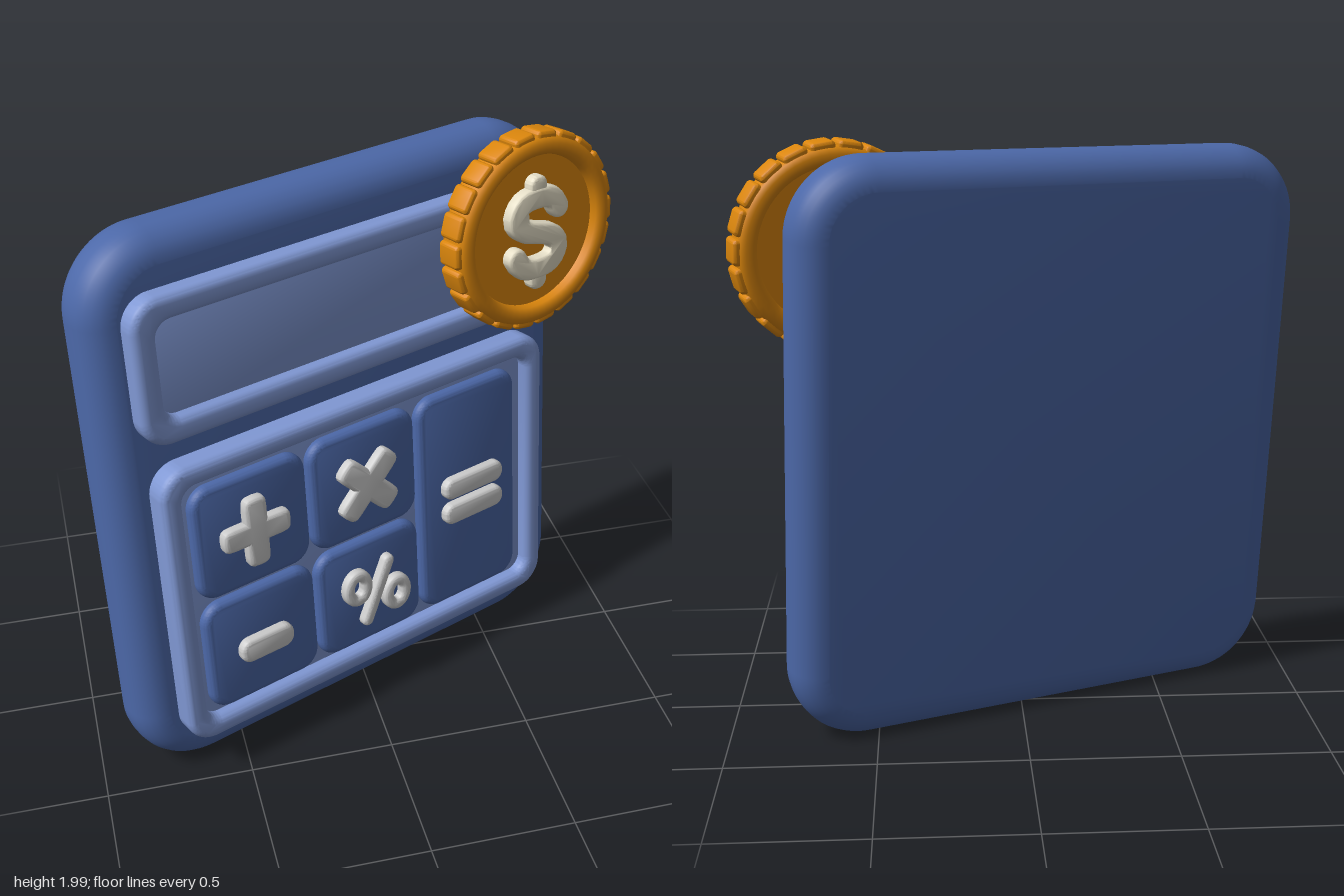
import * as THREE from 'three';
import { toCreasedNormals } from 'three/addons/utils/BufferGeometryUtils.js';

const mat = (color) => new THREE.MeshStandardMaterial({ color });
const BLUE = mat(0x4c68a8), LIGHT = mat(0x8098d4), GREY = mat(0xcccccc);
const GOLD = mat(0xdb860c), CREAM = mat(0xe6dfc8);

// Rounded rectangle outline, usable as a shape or a hole
function roundRect(w, h, r, Type = THREE.Shape) {
  const s = new Type(), x = w / 2, y = h / 2;
  s.absarc(x - r, y - r, r, 0, Math.PI / 2);
  s.absarc(-x + r, y - r, r, Math.PI / 2, Math.PI);
  s.absarc(-x + r, -y + r, r, Math.PI, Math.PI * 1.5);
  s.absarc(x - r, -y + r, r, Math.PI * 1.5, Math.PI * 2);
  s.closePath();
  return s;
}

// Band of constant width with round ends along a list of points
function stroke(points, width) {
  const curve = new THREE.CatmullRomCurve3(points.map(([x, y]) => new THREE.Vector3(x, y, 0)));
  const n = 40, left = [], right = [], r = width / 2;
  const at = (p, a) => new THREE.Vector2(p.x + r * Math.cos(a), p.y + r * Math.sin(a));
  for (let i = 0; i <= n; i++) {
    const p = curve.getPointAt(i / n), t = curve.getTangentAt(i / n), a = Math.atan2(t.y, t.x);
    right.push(at(p, a - Math.PI / 2));
    left.unshift(at(p, a + Math.PI / 2));
    for (let k = 1; k < 8; k++) {
      if (i === n) right.push(at(p, a - Math.PI / 2 + (k * Math.PI) / 8));
      if (i === 0) left.push(at(p, a + Math.PI / 2 + (k * Math.PI) / 8));
    }
  }
  return new THREE.Shape([...right, ...left]);
}

// Extrude a shape from z0 to z1 with softly rounded edges
function slab(name, shape, z0, z1, bevel, material, x = 0, y = 0) {
  const geo = new THREE.ExtrudeGeometry(shape, {
    depth: z1 - z0 - 2 * bevel, bevelThickness: bevel, bevelSize: bevel,
    bevelOffset: -bevel, bevelSegments: 6, curveSegments: 12,
  });
  geo.translate(0, 0, z0 + bevel);
  const mesh = new THREE.Mesh(toCreasedNormals(geo, 0.5), material);
  mesh.name = name;
  mesh.position.set(x, y, 0);
  return mesh;
}

// Raised frame with a recessed floor
function tray(name, w, h, y, rim, floor, top) {
  const g = new THREE.Group();
  g.name = name;
  const ring = roundRect(w, h, 0.1);
  ring.holes.push(roundRect(w - 2 * rim, h - 2 * rim, 0.055, THREE.Path));
  g.add(slab(name + 'Rim', ring, 0.07, top, 0.028, LIGHT));
  g.add(slab(name + 'Floor', roundRect(w - 0.06, h - 0.06, 0.08), 0.08, floor, 0.01, LIGHT));
  g.position.y = y;
  return g;
}

function makeKeys() {
  const g = new THREE.Group();
  g.name = 'keys';
  const cols = [-0.46, -0.01, 0.44], rows = [-0.085, -0.53];
  const key = (name, x, y, h) => g.add(slab(name, roundRect(0.44, h, 0.075), 0.13, 0.185, 0.025, BLUE, x, y));
  const mark = (name, shape, x, y, turn = 0) => {
    const m = slab(name, shape, 0.17, 0.218, 0.016, GREY, x, y);
    m.rotation.z = turn;
    g.add(m);
  };
  for (const x of cols.slice(0, 2)) for (const y of rows) key('squareKey', x, y, 0.425);
  key('tallKey', cols[2], -0.308, 0.865);

  // Cross outline used for plus, and turned for multiply
  const cross = (arm, w) => {
    const s = new THREE.Shape(), h = w / 2, d = arm - h;
    for (let k = 0; k < 4; k++) {
      const a = (k * Math.PI) / 2;
      for (let j = -4; j <= 4; j++) {
        const b = (j / 4) * (Math.PI / 2);
        // squarish rounded arm end
        const px = d + h * Math.pow(Math.cos(b), 0.6), py = h * Math.sign(b) * Math.pow(Math.abs(Math.sin(b)), 0.6);
        const X = px * Math.cos(a) - py * Math.sin(a), Y = px * Math.sin(a) + py * Math.cos(a);
        k || j > -4 ? s.lineTo(X, Y) : s.moveTo(X, Y);
      }
      s.lineTo(h * Math.cos(a) - h * Math.sin(a), h * Math.sin(a) + h * Math.cos(a));
    }
    return s;
  };
  mark('plusSign', cross(0.13, 0.085), cols[0], rows[0]);
  mark('timesSign', cross(0.14, 0.09), cols[1], rows[0] - 0.005, Math.PI / 4);
  mark('minusSign', roundRect(0.21, 0.09, 0.04), cols[0], rows[1] - 0.005);
  for (const dy of [-0.052, 0.052]) mark('equalsBar', roundRect(0.265, 0.082, 0.038), cols[2] + 0.005, -0.303 + dy);

  // Percent sign: slash and two small rings
  mark('percentSlash', stroke([[-0.05, -0.105], [0, 0], [0.05, 0.105]], 0.046), cols[1] + 0.015, rows[1]);
  for (const s of [-1, 1]) {
    const ring = new THREE.Shape().absellipse(0, 0, 0.06, 0.072, 0, Math.PI * 2);
    ring.holes.push(new THREE.Path().absellipse(0, 0, 0.017, 0.028, 0, Math.PI * 2));
    mark('percentRing', ring, cols[1] + 0.015 + s * 0.083, rows[1] - s * 0.043);
  }
  return g;
}

function makeCoin() {
  const g = new THREE.Group();
  g.name = 'coin';
  // Disc recessed on both faces, with a rounded rim
  const half = [[0.262, 0.025], [0.268, 0.048], [0.282, 0.058], [0.305, 0.058], [0.322, 0.05], [0.328, 0.035]];
  const profile = [[0, 0.025], ...half, ...half.map(([r, y]) => [r, -y]).reverse(), [0, -0.025]];
  const lathe = new THREE.LatheGeometry(profile.reverse().map(([r, y]) => new THREE.Vector2(r, y)), 64);
  lathe.rotateX(Math.PI / 2);
  const disc = new THREE.Mesh(toCreasedNormals(lathe, 0.8), GOLD);
  disc.name = 'coinDisc';
  g.add(disc);
  // Raised blocks around the edge
  const count = 22;
  for (let i = 0; i < count; i++) {
    const a = (i / count) * Math.PI * 2;
    const block = slab('edgeBlock', roundRect(0.045, 0.086, 0.016), -0.047, 0.047, 0.014, GOLD,
      0.322 * Math.cos(a), 0.322 * Math.sin(a));
    block.rotation.z = a;
    g.add(block);
  }
  // Currency sign: curved stroke with a nub above and below
  const curve = [[0.093, 0.07], [0.062, 0.112], [0, 0.125], [-0.066, 0.112], [-0.092, 0.065], [-0.062, 0.022], [0, 0],
    [0.062, -0.022], [0.092, -0.065], [0.066, -0.112], [0, -0.125], [-0.062, -0.112], [-0.093, -0.07]];
  g.add(slab('signCurve', stroke(curve, 0.076), 0.015, 0.066, 0.014, CREAM));
  for (const s of [-1, 1]) g.add(slab('signNub', roundRect(0.074, 0.09, 0.034), 0.015, 0.063, 0.014, CREAM, 0, s * 0.157));
  g.position.set(0.68, 0.652, 0.225);
  return g;
}

export function createModel() {
  const model = new THREE.Group();
  model.name = 'calculatorWithCoin';
  const tilted = new THREE.Group();
  tilted.name = 'calculator';
  tilted.add(slab('body', roundRect(1.82, 1.96, 0.26), -0.115, 0.115, 0.1, BLUE));
  tilted.add(tray('screen', 1.6, 0.495, 0.562, 0.085, 0.135, 0.18));
  tilted.add(tray('keypad', 1.56, 1.065, -0.302, 0.075, 0.15, 0.197));
  tilted.add(makeKeys(), makeCoin());
  // Turned to one side and leaning back a little
  tilted.rotation.set(-0.085, 0.385, 0, 'YXZ');
  tilted.position.set(-0.075, 0.987, -0.022);
  model.add(tilted);
  return model;
}
